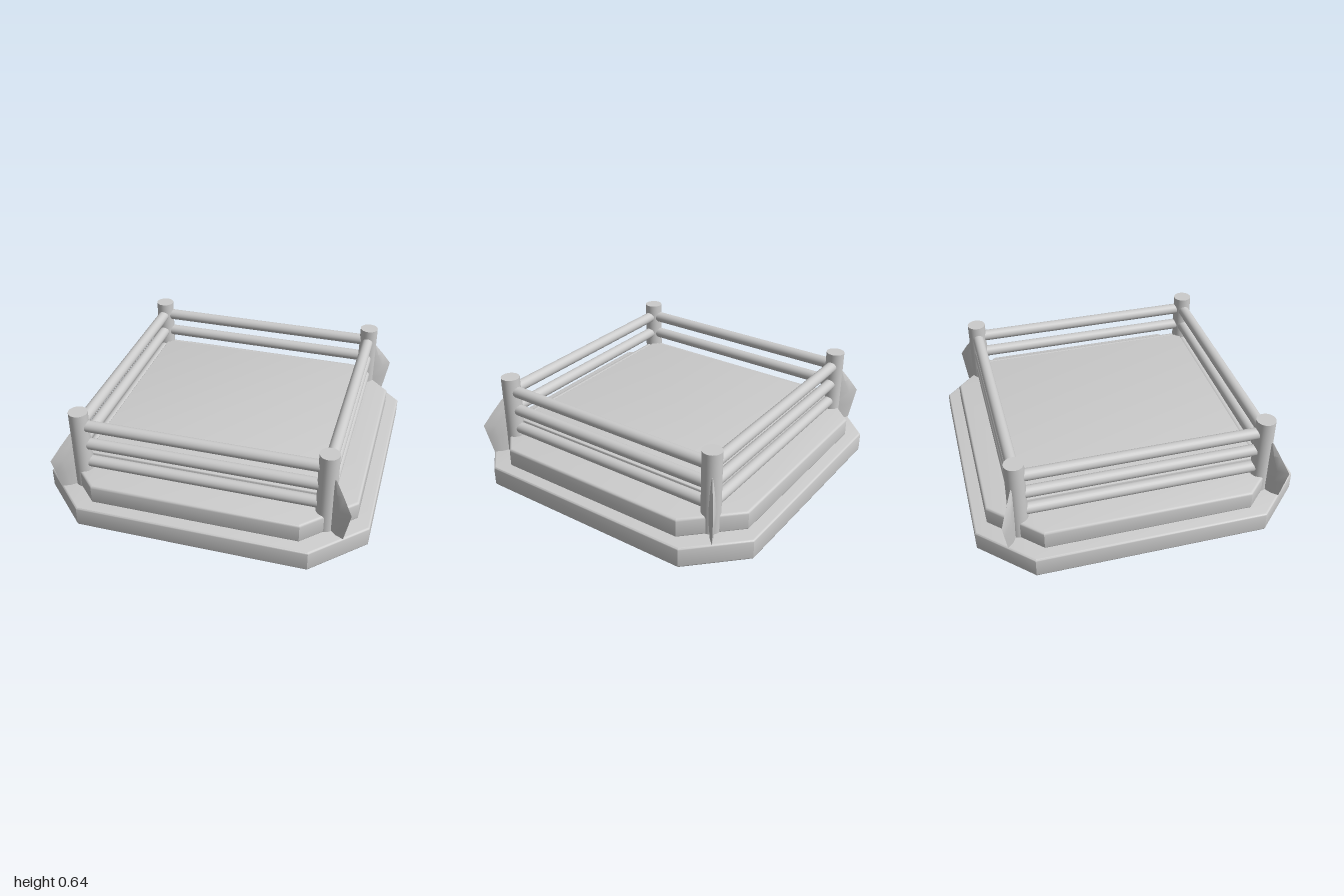
import * as THREE from 'three';
import { toCreasedNormals } from 'three/addons/utils/BufferGeometryUtils.js';

const grey = new THREE.MeshStandardMaterial({ color: 0xcccccc });

function add(parent, name, geometry, x = 0, y = 0, z = 0) {
  const mesh = new THREE.Mesh(geometry, grey);
  mesh.name = name;
  mesh.position.set(x, y, z);
  parent.add(mesh);
  return mesh;
}

// Square slab with cut corners and softly bevelled edges, standing on y = 0
function slab(half, corner, height, bevel) {
  const outline = [];
  for (let i = 0; i < 4; i++) {
    const c = Math.round(Math.cos(i * Math.PI / 2)), s = Math.round(Math.sin(i * Math.PI / 2));
    for (const t of corner < half ? [-corner, corner] : [corner]) {
      outline.push(new THREE.Vector2(c * half - s * t, s * half + c * t));
    }
  }
  const geo = new THREE.ExtrudeGeometry(new THREE.Shape(outline), {
    depth: height - 2 * bevel, bevelEnabled: true, bevelThickness: bevel,
    bevelSize: bevel, bevelOffset: -bevel, bevelSegments: 3,
  });
  geo.translate(0, 0, bevel).rotateX(-Math.PI / 2);
  return toCreasedNormals(geo, 0.6);
}

// Lens-shaped fin pointing along +x, lofted from [height, reach, half thickness]
function finGeometry() {
  const rows = [[0.13, 0.15, 0.009], [0.24, 0.176, 0.018], [0.33, 0.197, 0.022],
    [0.42, 0.13, 0.014], [0.5, 0.065, 0.004]];
  const inner = 0.03, pos = [], idx = [];
  for (const [y, reach, t] of rows) {
    const mid = (inner + reach) * 0.55;
    pos.push(inner, y, 0, mid, y, t, reach, y, 0, mid, y, -t);
  }
  for (let r = 0; r < rows.length - 1; r++) {
    for (let k = 0; k < 4; k++) {
      const a = r * 4 + k, b = r * 4 + (k + 1) % 4;
      idx.push(a, b, b + 4, a, b + 4, a + 4);
    }
  }
  const top = (rows.length - 1) * 4;
  idx.push(0, 2, 1, 0, 3, 2, top, top + 1, top + 2, top, top + 2, top + 3);
  const geo = new THREE.BufferGeometry();
  geo.setAttribute('position', new THREE.Float32BufferAttribute(pos, 3));
  geo.setIndex(idx);
  return toCreasedNormals(geo, 0.6);
}

export function createModel() {
  const ring = new THREE.Group();
  ring.name = 'boxingRing';
  const P = 0.745; // post offset from the centre

  // Stepped platform and raised mat
  add(ring, 'base', slab(1, 0.7, 0.13, 0.012));
  add(ring, 'platform', slab(0.92, 0.63, 0.125, 0.016), 0, 0.12, 0);
  add(ring, 'mat', slab(0.725, 0.725, 0.113, 0.006), 0, 0.23, 0);

  // Corner posts with outward fins
  const postGeo = new THREE.CylinderGeometry(0.058, 0.058, 0.52, 32);
  const finGeo = finGeometry();
  for (const sx of [-1, 1]) {
    for (const sz of [-1, 1]) {
      const corner = new THREE.Group();
      corner.name = 'cornerPost';
      corner.position.set(sx * P, 0, sz * P);
      add(corner, 'post', postGeo, 0, 0.383, 0);
      add(corner, 'fin', finGeo).rotation.y = Math.atan2(-sz * 0.583, sx * 0.812);
      ring.add(corner);
    }
  }

  // Three ropes along each side
  const ropeGeo = new THREE.CylinderGeometry(0.036, 0.036, 2 * P, 24, 1, true);
  for (const y of [0.298, 0.425, 0.552]) {
    for (const s of [-1, 1]) {
      add(ring, 'rope', ropeGeo, 0, y, s * P).rotation.z = Math.PI / 2;
      add(ring, 'rope', ropeGeo, s * P, y, 0).rotation.x = Math.PI / 2;
    }
  }
  return ring;
}
